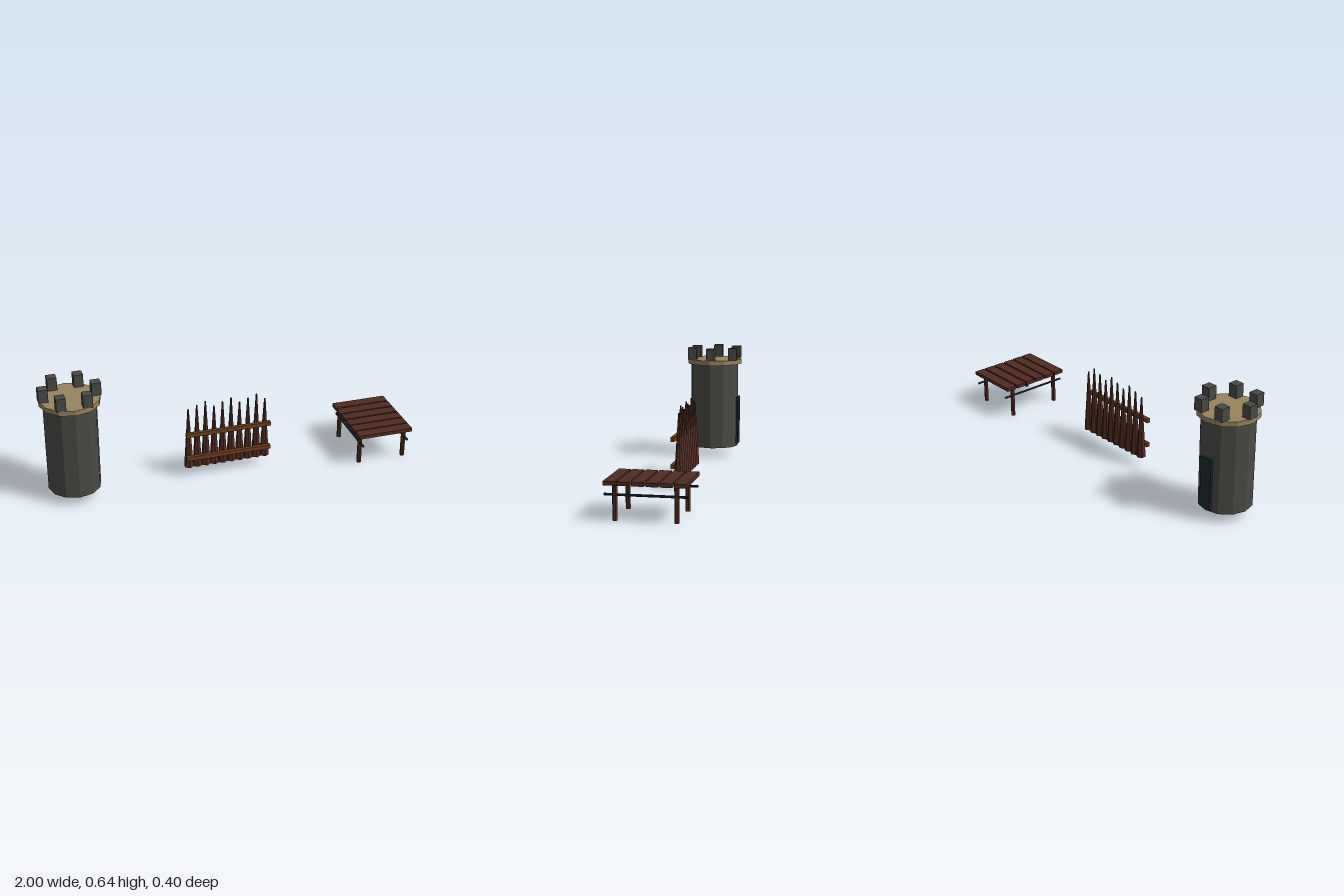
import * as THREE from 'three';

export function createModel() {
  const model = new THREE.Group();
  const mat = (name, color) => {
    const m = new THREE.MeshStandardMaterial({ color, flatShading: true });
    m.name = name;
    return m;
  };
  const stone = mat('dark stone', 0x494a45);
  const sand = mat('sandstone', 0x97835f);
  const wood = mat('dark wood', 0x502b21);
  const plank = mat('brown rail wood', 0x6c3e1c);
  const iron = mat('dark iron', 0x1d2b2e);

  const add = (parent, name, geometry, material, x, y, z) => {
    const mesh = new THREE.Mesh(geometry, material);
    mesh.name = name;
    mesh.position.set(x, y, z);
    parent.add(mesh);
    return mesh;
  };
  const group = (name, x) => {
    const g = new THREE.Group();
    g.name = name;
    g.position.x = x;
    model.add(g);
    return g;
  };
  const box = (w, h, d) => new THREE.BoxGeometry(w, h, d);
  const cyl = (top, bottom, h, sides) => new THREE.CylinderGeometry(top, bottom, h, sides);

  // Watchtower: twelve-sided shaft, cap slab, six merlons, rear door
  const tower = group('tower', -0.838);
  add(tower, 'towerShaft', cyl(0.14, 0.14, 0.5, 12), stone, 0, 0.305, 0);
  add(tower, 'towerCap', cyl(0.16, 0.16, 0.027, 12), sand, 0, 0.5595, 0);
  for (let i = 0; i < 6; i++) {
    const a = (i * Math.PI) / 3;
    add(tower, 'merlon', box(0.05, 0.069, 0.05), stone,
      0.137 * Math.cos(a), 0.6075, 0.137 * Math.sin(a));
  }
  add(tower, 'towerDoor', box(0.072, 0.278, 0.012), iron, 0, 0.209, -0.14);

  // Palisade: ten sharpened stakes of three repeating heights, two rails
  const palisade = group('palisade', 0);
  for (let i = 0; i < 10; i++) {
    const h = [0.345, 0.362, 0.378][i % 3];
    add(palisade, 'stake', cyl(0.004, 0.026, h, 6), wood, (i - 4.5) * 0.0475, 0.055 + h / 2, 0);
  }
  for (const y of [0.119, 0.262]) {
    add(palisade, 'rail', box(0.472, 0.023, 0.02), plank, 0, y, 0.031);
  }

  // Slatted table: six planks, four legs, two iron bars
  const table = group('table', 0.844);
  for (let i = 0; i < 6; i++) {
    add(table, 'tablePlank', box(0.31, 0.02, 0.059), wood, 0, 0.181, (i - 2.5) * 0.068);
  }
  for (const x of [-0.129, 0.129]) {
    for (const z of [-0.148, 0.148]) {
      add(table, 'tableLeg', cyl(0.0125, 0.0125, 0.19, 6), wood, x, 0.095, z);
    }
    add(table, 'tableBar', cyl(0.0065, 0.0065, 0.4, 6), iron, x, 0.124, 0).rotation.x = Math.PI / 2;
  }

  return model;
}
